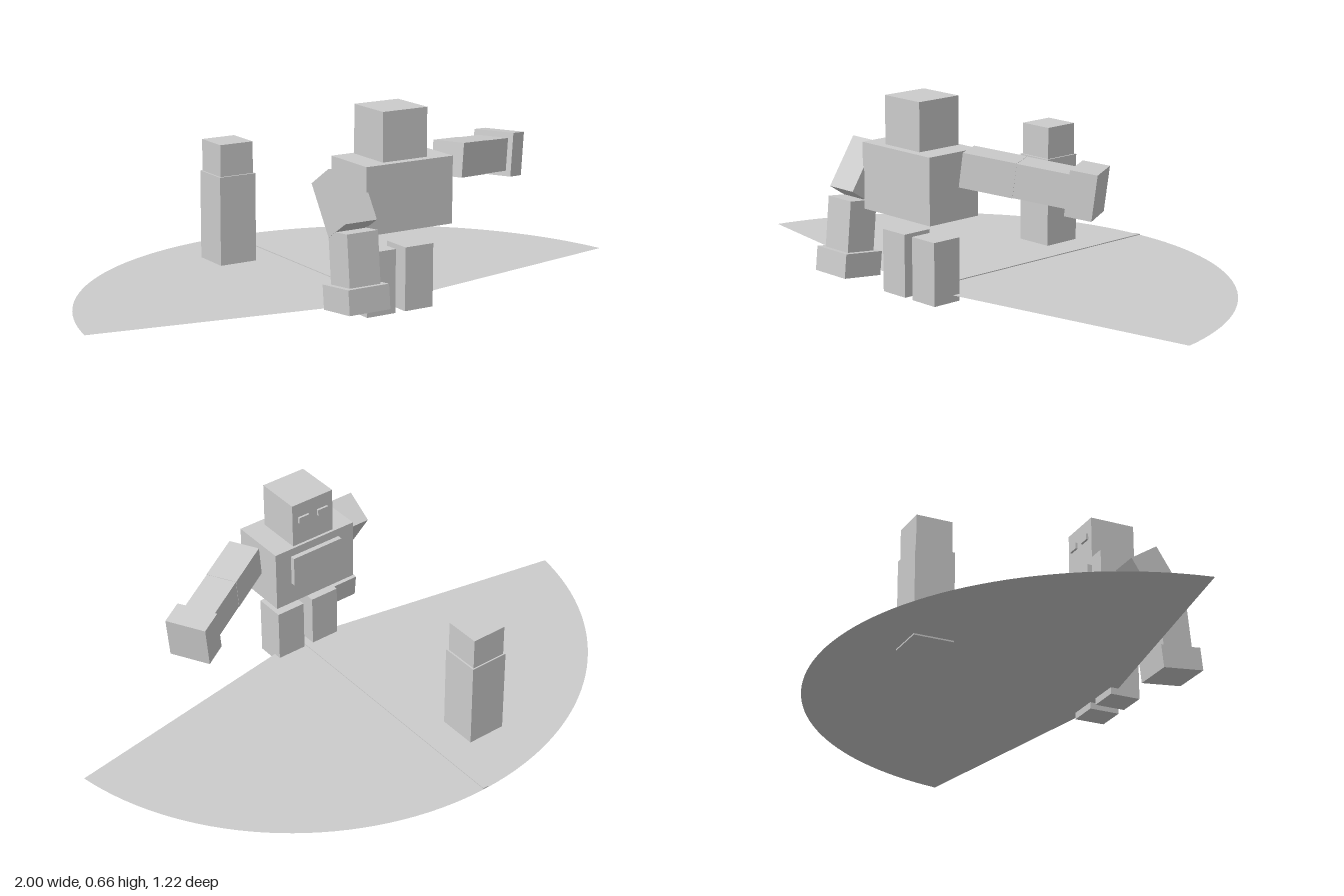
import * as THREE from 'three';

const grey = new THREE.MeshStandardMaterial({ color: 0xcccccc, side: THREE.DoubleSide });
grey.name = 'light grey';

const rad = THREE.MathUtils.degToRad;

// Named box from its size and centre
function box(parent, name, size, centre, tilt = 0) {
  const mesh = new THREE.Mesh(new THREE.BoxGeometry(...size), grey);
  mesh.name = name;
  mesh.position.set(...centre);
  mesh.rotation.x = rad(tilt);
  parent.add(mesh);
  return mesh;
}

// Blocky figure, facing -z
function makeFigure() {
  const figure = new THREE.Group();
  figure.name = 'figure';
  const cx = -0.003;

  box(figure, 'torso', [0.325, 0.22, 0.203], [cx, 0.39, 0.408]);
  box(figure, 'chestPlate', [0.2, 0.11, 0.018], [cx, 0.415, 0.298]);
  box(figure, 'head', [0.166, 0.16, 0.164], [cx, 0.58, 0.398]);

  for (const [side, s] of [['left', 1], ['right', -1]]) {
    box(figure, side + 'Leg', [0.107, 0.21, 0.107], [cx + s * 0.072, 0.105, 0.407]);
    box(figure, side + 'Eye', [0.042, 0.022, 0.009], [cx + s * 0.039, 0.597, 0.3125]);
  }

  // Hanging arm, bent at the elbow
  const hanging = new THREE.Group();
  hanging.name = 'rightArm';
  box(hanging, 'upperArm', [0.115, 0.183, 0.115], [-0.2165, 0.389, 0.461], -33);
  box(hanging, 'forearm', [0.113, 0.172, 0.108], [-0.2165, 0.222, 0.521], -5.5);
  box(hanging, 'hand', [0.149, 0.08, 0.149], [-0.2165, 0.1, 0.533], -6);
  figure.add(hanging);

  // Outstretched arm, built along its own x axis from the shoulder
  const reaching = new THREE.Group();
  reaching.name = 'leftArm';
  box(reaching, 'upperArm', [0.176, 0.112, 0.109], [0.088, 0, 0]);
  box(reaching, 'forearm', [0.174, 0.11, 0.107], [0.263, 0, 0]);
  box(reaching, 'hand', [0.088, 0.147, 0.143], [0.394, 0, 0]);
  reaching.position.set(0.214, 0.465, 0.404);
  reaching.rotation.set(0, rad(29), rad(-7.3));
  figure.add(reaching);

  return figure;
}

// Post with a smaller block on top
function makePost() {
  const post = new THREE.Group();
  post.name = 'post';
  box(post, 'postBody', [0.138, 0.312, 0.138], [-0.178, 0.174, -0.336]);
  box(post, 'postHead', [0.126, 0.11, 0.126], [-0.178, 0.385, -0.337]);
  return post;
}

// Flat fan spreading out in front of the figure, with a centre strip
function makeFan() {
  const fan = new THREE.Group();
  fan.name = 'fan';
  const sector = new THREE.CircleGeometry(1.0154, 64, rad(10), rad(160));
  sector.rotateX(-Math.PI / 2);
  const sheet = new THREE.Mesh(sector, grey);
  sheet.name = 'fanSheet';
  sheet.position.set(0, 0.023, 0.404);
  fan.add(sheet);
  box(fan, 'centreStrip', [0.02, 0.003, 1.012], [-0.002, 0.0252, -0.104]);
  return fan;
}

export function createModel() {
  const model = new THREE.Group();
  model.name = 'figureWithFan';
  model.add(makeFigure(), makePost(), makeFan());
  return model;
}
